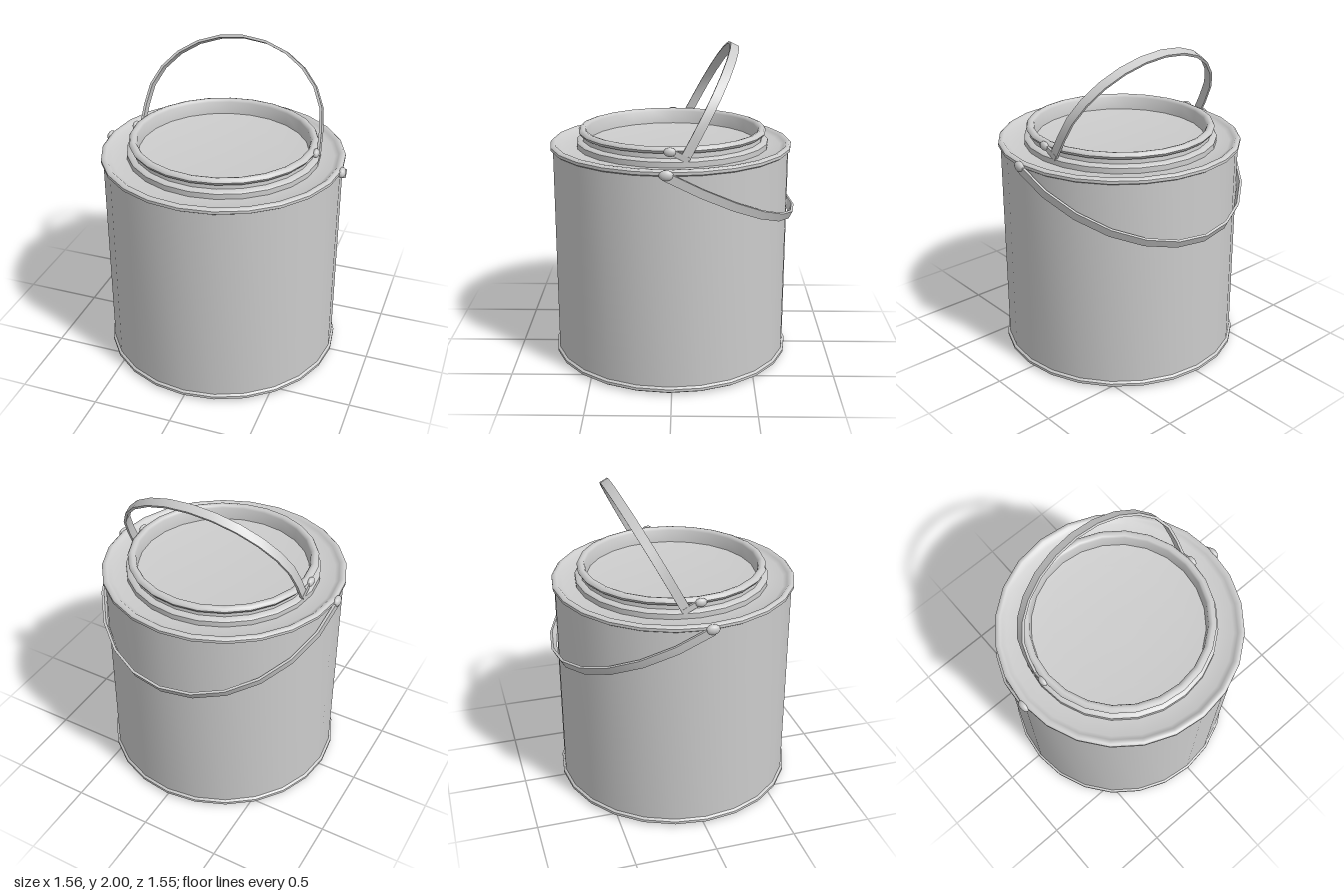
import * as THREE from 'three';
import { toCreasedNormals } from 'three/addons/utils/BufferGeometryUtils.js';

const material = new THREE.MeshStandardMaterial({ color: 0xcccccc, side: THREE.DoubleSide });

function part(name, geometry, x = 0, y = 0, z = 0) {
  const mesh = new THREE.Mesh(geometry, material);
  mesh.name = name;
  mesh.position.set(x, y, z);
  return mesh;
}

// Turned part from [radius, height] pairs, 24 sides, sharp corners kept
function turned(name, profile, z) {
  const points = profile.map(([r, y]) => new THREE.Vector2(r, y));
  return part(name, toCreasedNormals(new THREE.LatheGeometry(points, 24), 0.82), 0, 0, z);
}

// Flat strip bent into an arch: straight legs, then a half ellipse
function bail(name, halfWidth, radius, leg, stripWidth, tilt, y, z) {
  const t = 0.016;
  const outline = (inset) => {
    const pts = leg > 0 ? [new THREE.Vector2(halfWidth + 0.008 - inset, 0)] : [];
    for (let i = 0; i <= 12; i++) {
      const a = (i / 12) * Math.PI;
      pts.push(new THREE.Vector2((halfWidth - inset) * Math.cos(a), leg + (radius - inset) * Math.sin(a)));
    }
    if (leg > 0) pts.push(new THREE.Vector2(-halfWidth - 0.008 + inset, 0));
    return pts;
  };
  const shape = new THREE.Shape([...outline(0), ...outline(t).reverse()]);
  const geometry = new THREE.ExtrudeGeometry(shape, { depth: stripWidth, bevelEnabled: false });
  geometry.translate(0, 0, -stripWidth / 2);
  const mesh = part(name, toCreasedNormals(geometry, 0.4), 0, y, z);
  mesh.rotation.x = tilt;
  return mesh;
}

function rivet(name, x, y, z, r) {
  const mesh = part(name, new THREE.SphereGeometry(r, 12, 8), x, y, z);
  mesh.scale.set(0.65, 0.85, 1.15);
  return mesh;
}

export function createModel() {
  const group = new THREE.Group();
  group.name = 'paintCan';

  // Can: base ring, rolled bottom rim, wall, rolled top rim, recessed deck
  group.add(turned('canBody', [
    [0, 0.02], [0.56, 0.02], [0.565, 0.003], [0.575, 0], [0.585, 0.003], [0.59, 0.02],
    [0.71, 0.02], [0.725, 0.01], [0.742, 0.008], [0.757, 0.018], [0.757, 0.035], [0.743, 0.046],
    [0.743, 1.348], [0.757, 1.357], [0.757, 1.375], [0.745, 1.386], [0.727, 1.386],
    [0.715, 1.374], [0.69, 1.36], [0.55, 1.36],
  ], 0.018));

  // Mouth collar with a rolled lip and a sunken lid
  group.add(turned('lid', [
    [0.602, 1.358], [0.602, 1.393], [0.592, 1.402], [0.565, 1.406], [0.562, 1.434],
    [0.578, 1.438], [0.588, 1.455], [0.58, 1.47], [0.562, 1.476], [0.545, 1.471],
    [0.537, 1.457], [0.53, 1.378], [0.39, 1.364], [0, 1.364],
  ], 0.008));

  // Raised lid handle and lowered carrying handle
  group.add(bail('lidHandle', 0.585, 0.51, 0.14, 0.055, -0.481, 1.41, -0.075));
  group.add(bail('canHandle', 0.77, 0.89, 0, 0.052, -2.052, 1.352, 0.03));

  // Rivets and end tabs on both sides
  for (const s of [-1, 1]) {
    group.add(rivet('canRivet', s * 0.757, 1.358, 0.03, 0.037));
    group.add(rivet('lidRivet', s * 0.588, 1.45, 0.012, 0.032));
    const tab = part('lidHandleTab', new THREE.BoxGeometry(0.015, 0.035, 0.12), s * 0.586, 1.428, -0.042);
    tab.rotation.x = -0.46;
    group.add(tab);
  }
  return group;
}
